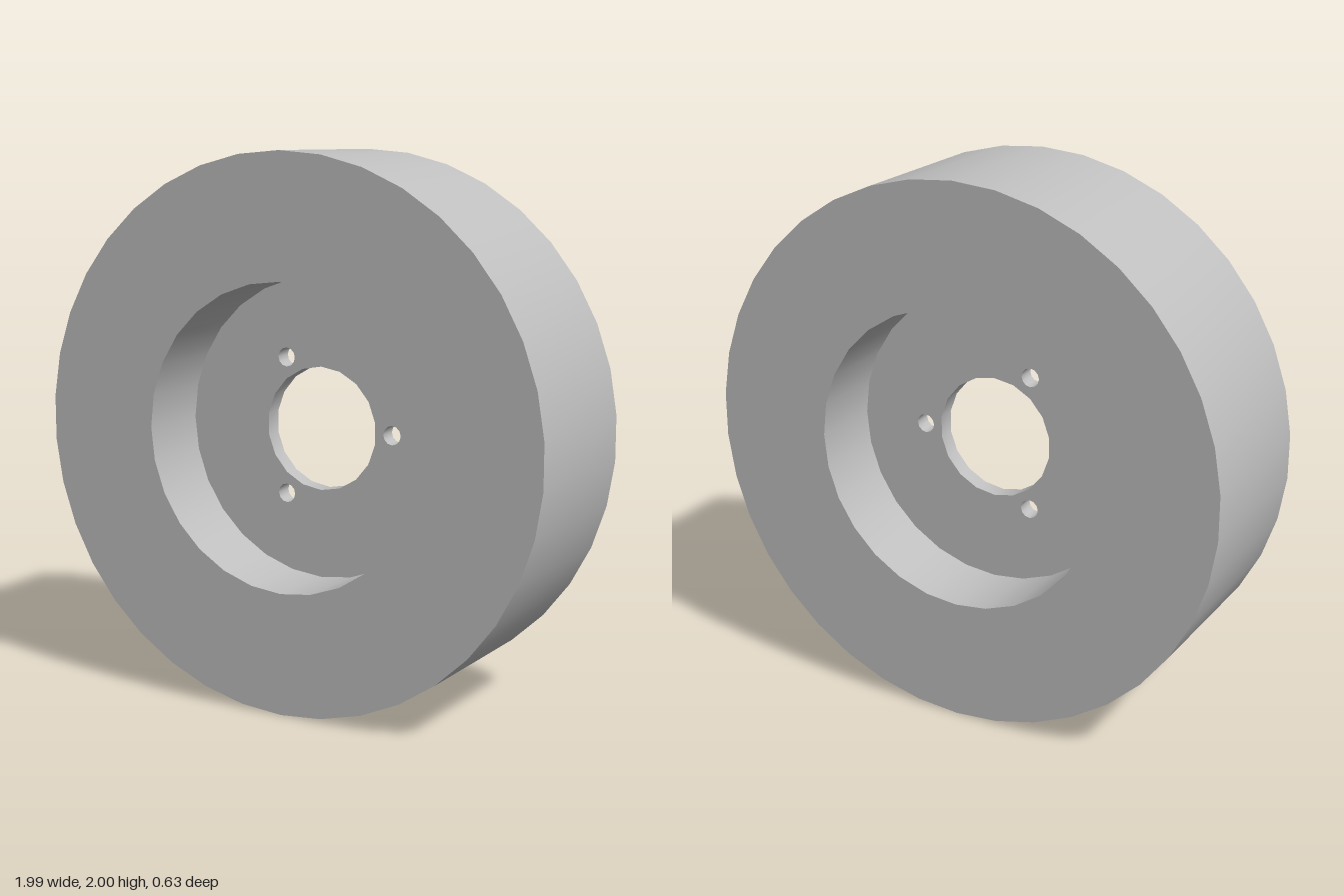
import * as THREE from 'three';
import { toCreasedNormals } from 'three/addons/utils/BufferGeometryUtils.js';

// Regular polygon with a corner at the top
function circle(radius, sides, cx = 0, cy = 0) {
  const points = [];
  for (let i = 0; i < sides; i++) {
    const a = Math.PI / 2 + (i / sides) * Math.PI * 2;
    points.push(new THREE.Vector2(cx + radius * Math.cos(a), cy + radius * Math.sin(a)));
  }
  return points;
}

// Plate with holes, centred on z = 0, smooth round walls and sharp edges
function plate(name, outline, holes, thickness, material) {
  const shape = new THREE.Shape(outline);
  shape.holes = holes.map((points) => new THREE.Path(points));
  const geometry = new THREE.ExtrudeGeometry(shape, { depth: thickness, bevelEnabled: false });
  geometry.translate(0, 0, -thickness / 2);
  const mesh = new THREE.Mesh(toCreasedNormals(geometry, 0.7), material);
  mesh.name = name;
  return mesh;
}

export function createModel() {
  const grey = new THREE.MeshStandardMaterial({ color: 0xbfbfbf });
  grey.name = 'grey';

  const wheel = new THREE.Group();
  wheel.name = 'wheel';
  wheel.position.y = 1;

  // Thick outer ring, recessed on both sides down to the hub
  const recess = circle(0.553, 28);
  wheel.add(plate('rim', circle(1, 38), [recess], 0.63, grey));

  // Thin hub plate with a central bore and three bolt holes
  const holes = [circle(0.227, 18)];
  for (let i = 0; i < 3; i++) {
    const a = (i / 3) * Math.PI * 2;
    holes.push(circle(0.035, 12, 0.292 * Math.cos(a), 0.292 * Math.sin(a)));
  }
  wheel.add(plate('hubPlate', recess, holes, 0.065, grey));

  const model = new THREE.Group();
  model.name = 'model';
  model.add(wheel);
  return model;
}
